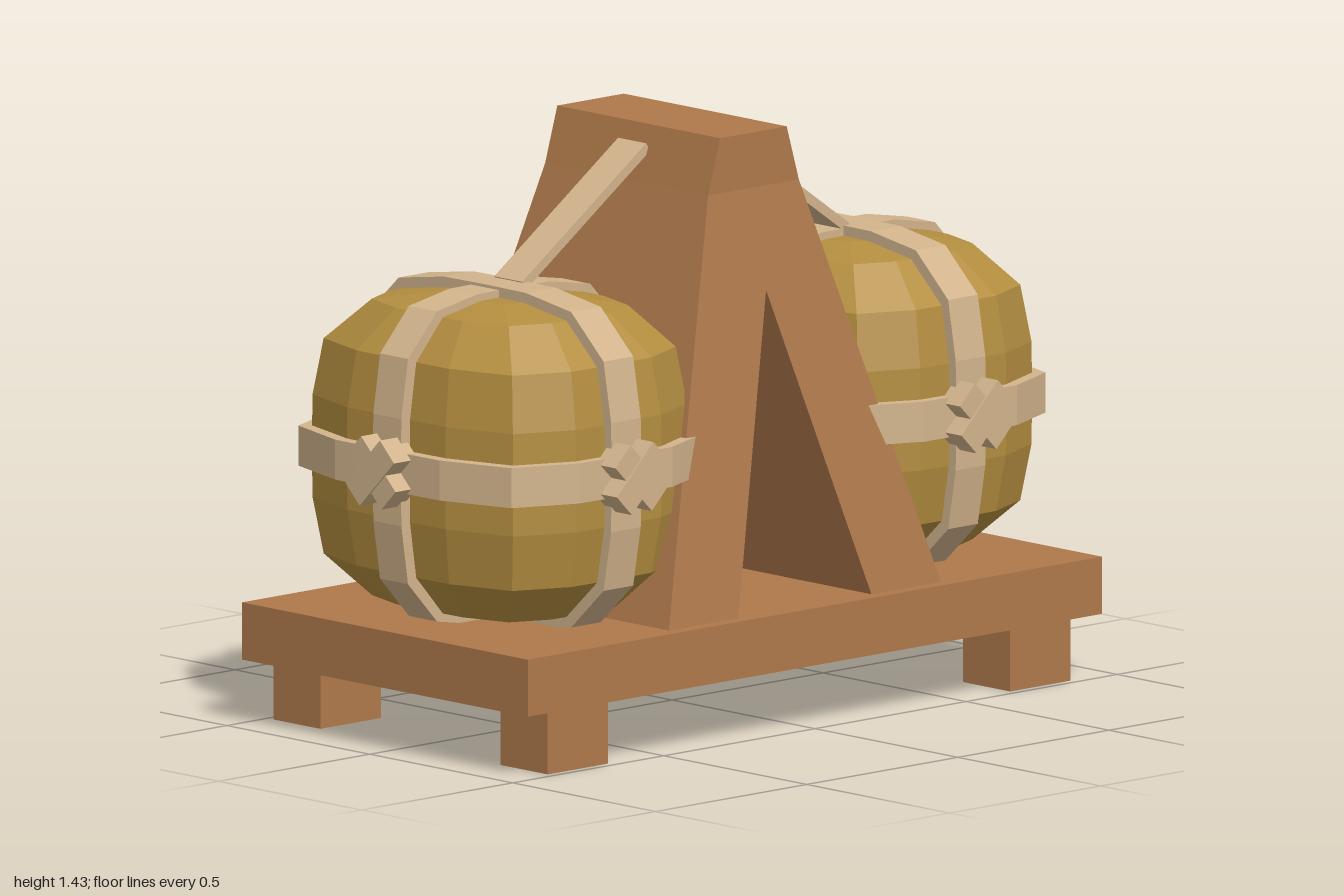
import * as THREE from 'three';

const mat = (name, color) => new THREE.MeshStandardMaterial({ name, color, flatShading: true });

// signed superellipse point at angle a
const POWER = 3.9;
function squircle(a) {
  const c = Math.cos(a), s = Math.sin(a);
  const n = Math.pow(Math.abs(c) ** POWER + Math.abs(s) ** POWER, 1 / POWER);
  return [c / n, s / n];
}

// Closed band around the y axis with a rectangular cross-section
function bandGeometry(rx, rz, segments, width, thick) {
  const pos = [], idx = [];
  for (let i = 0; i < segments; i++) {
    const [c, s] = squircle((i / segments) * Math.PI * 2);
    for (const [t, h] of [[0, -1], [0, 1], [-thick, 1], [-thick, -1]])
      pos.push(c * (rx + t), h * width / 2, s * (rz + t));
    const a = i * 4, b = ((i + 1) % segments) * 4;
    for (let k = 0; k < 4; k++) {
      const n = (k + 1) % 4;
      idx.push(a + k, a + n, b + n, a + k, b + n, b + k);
    }
  }
  const g = new THREE.BufferGeometry();
  g.setAttribute('position', new THREE.Float32BufferAttribute(pos, 3));
  g.setIndex(idx);
  g.computeVertexNormals();
  return g;
}

// Rounded-box bundle: a sphere pushed out to a superellipsoid
function bundleGeometry(rx, ry, rz) {
  const g = new THREE.SphereGeometry(1, 16, 10);
  const p = g.attributes.position;
  for (let i = 0; i < p.count; i++) {
    const x = p.getX(i), y = p.getY(i), z = p.getZ(i);
    const [r, h] = squircle(Math.atan2(y, Math.hypot(x, z)));
    const [c, s] = squircle(Math.atan2(z, x));
    p.setXYZ(i, c * r * rx, h * ry, s * r * rz);
  }
  g.computeVertexNormals();
  return g;
}

export function createModel() {
  const model = new THREE.Group();
  model.name = 'cargoRack';
  const wood = mat('wood', 0xaf794b);
  const cloth = mat('bundleCloth', 0xb48e40);
  const strap = mat('strap', 0xd2b48c);

  const add = (parent, name, geo, material, x = 0, y = 0, z = 0) => {
    const m = new THREE.Mesh(geo, material);
    m.name = name;
    m.position.set(x, y, z);
    parent.add(m);
    return m;
  };

  // Platform and feet
  add(model, 'platform', new THREE.BoxGeometry(1.9, 0.14, 1), wood, 0, 0.225, 0);
  for (const sx of [-1, 1]) for (const sz of [-1, 1])
    add(model, 'foot', new THREE.BoxGeometry(0.2, 0.155, 0.165), wood, sx * 0.765, 0.0775, sz * 0.3975);

  // A-frame: upright cap, then legs whose front and back flare outward
  const frame = new THREE.Group();
  frame.name = 'aFrame';
  model.add(frame);
  const BASE = 0.295, KINK = 1.295;
  const framePart = (name, points) => {
    const shape = new THREE.Shape(points.map(([x, y]) => new THREE.Vector2(x, y)));
    const g = new THREE.ExtrudeGeometry(shape, { depth: 1, bevelEnabled: false });
    const p = g.attributes.position;
    for (let i = 0; i < p.count; i++) {
      const half = 0.285 + 0.18 * Math.max(0, KINK - p.getY(i));
      p.setZ(i, p.getZ(i) > 0.5 ? half : -half);
    }
    g.computeVertexNormals();
    add(frame, name, g, wood);
  };
  framePart('frameCap', [[-0.15, KINK], [0.15, KINK], [0.11, 1.43], [-0.11, 1.43]]);
  framePart('frameLegs', [[-0.45, BASE], [-0.22, BASE], [0, 1.05], [0.22, BASE],
    [0.45, BASE], [0.15, KINK], [-0.15, KINK]]);

  // Strapped bundles, one on each side
  for (const side of [-1, 1]) {
    const bundle = new THREE.Group();
    bundle.name = side > 0 ? 'leftBundle' : 'rightBundle';
    bundle.position.set(side * 0.57, 0.688, 0);
    model.add(bundle);
    add(bundle, 'bundleBody', bundleGeometry(0.345, 0.387, 0.42), cloth);
    add(bundle, 'waistStrap', bandGeometry(0.375, 0.445, 16, 0.098, 0.045), strap);
    add(bundle, 'crossStrap', bandGeometry(0.373, 0.405, 20, 0.098, 0.045), strap)
      .rotation.x = Math.PI / 2;
    add(bundle, 'lengthStrap', bandGeometry(0.412, 0.443, 20, 0.098, 0.045), strap)
      .rotation.z = Math.PI / 2;

    // Crossed knots on the front and the outer side
    for (const [x, z, turn] of [[0, 0.46, 0], [side * 0.39, 0, side * Math.PI / 2]]) {
      const knot = new THREE.Group();
      knot.name = 'knot';
      knot.position.set(x, 0, z);
      knot.rotation.y = turn;
      bundle.add(knot);
      for (const s of [-1, 1])
        add(knot, 'knotBar', new THREE.BoxGeometry(0.17, 0.07, s > 0 ? 0.08 : 0.07), strap)
          .rotation.z = s * Math.PI / 4;
    }

    // Tie running from the bundle up to the frame
    const dx = 0.41, dy = 0.285;
    add(model, 'tie', new THREE.BoxGeometry(Math.hypot(dx, dy), 0.024, 0.098), strap,
      side * 0.33, 1.235, 0).rotation.z = -side * Math.atan2(dy, dx);
  }
  return model;
}
